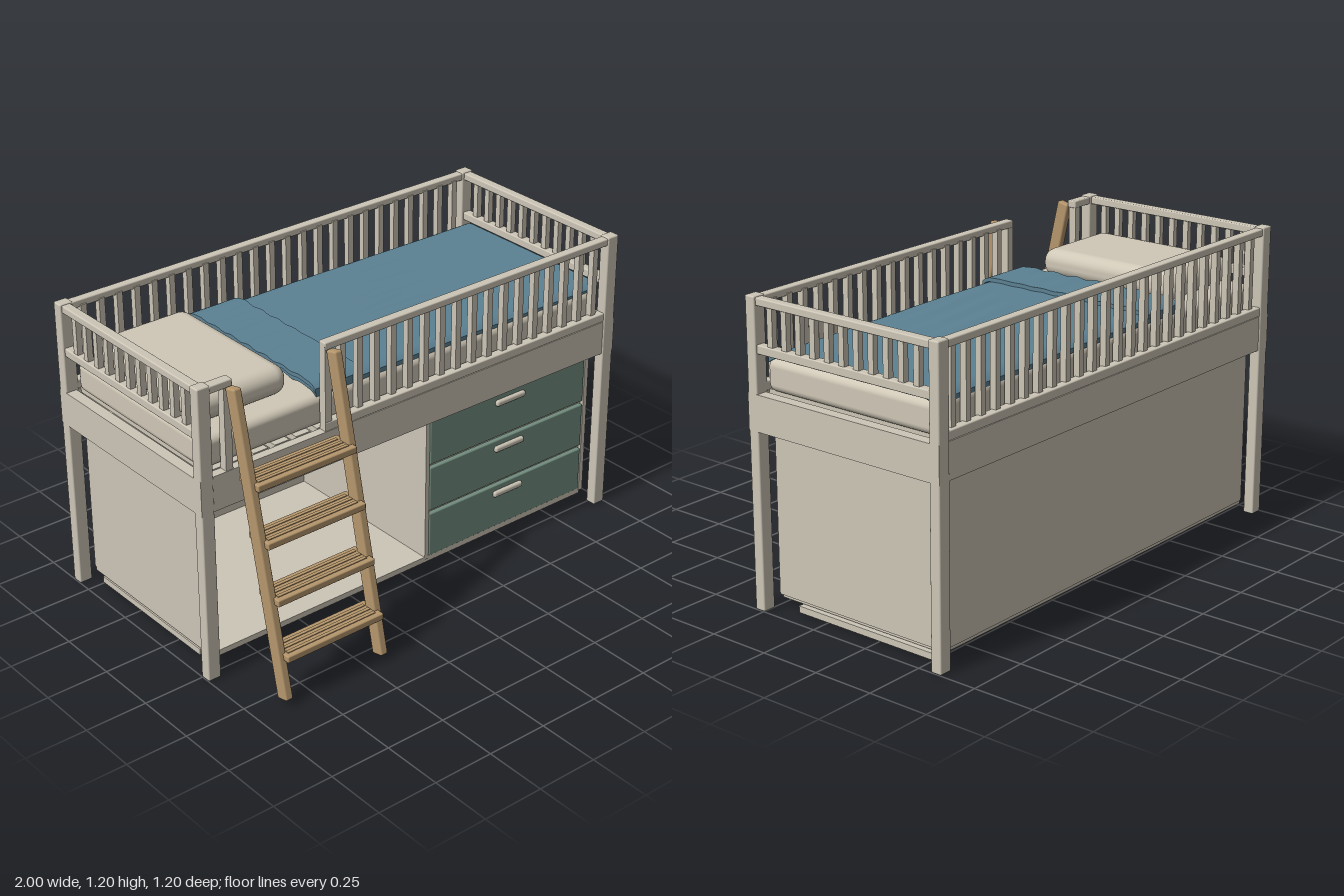
import * as THREE from 'three';
import { RoundedBoxGeometry } from 'three/addons/geometries/RoundedBoxGeometry.js';

const mat = (name, color) => {
  const m = new THREE.MeshStandardMaterial({ color });
  m.name = name;
  return m;
};

export function createModel() {
  const cream = mat('cream paint', 0xcdc6b7);
  const linen = mat('linen', 0xd0c8b7);
  const green = mat('sage green', 0x738e80);
  const teal = mat('teal blanket', 0x5c8294);
  const wood = mat('oak', 0xb5966c);

  const model = new THREE.Group();
  model.name = 'loftBed';
  const group = (name) => {
    const g = new THREE.Group();
    g.name = name;
    model.add(g);
    return g;
  };
  // Box given by its limits on each axis, with an optional rounding radius
  const box = (parent, name, material, [x0, x1], [y0, y1], [z0, z1], r = 0) => {
    const s = [x1 - x0, y1 - y0, z1 - z0];
    const geo = r ? new RoundedBoxGeometry(...s, 3, r) : new THREE.BoxGeometry(...s);
    const mesh = new THREE.Mesh(geo, material);
    mesh.name = name;
    mesh.position.set((x0 + x1) / 2, (y0 + y1) / 2, (z0 + z1) / 2);
    parent.add(mesh);
    return mesh;
  };
  const around = (c, w) => [c - w / 2, c + w / 2];
  const span = (side, a, b) => (side > 0 ? [a, b] : [-b, -a]);

  const back = [-0.6, -0.555], front = [0.245, 0.29];
  const top = [1.165, 1.195];

  // Posts and main rails
  const frame = group('bedFrame');
  for (const side of [-1, 1]) {
    const x = span(side, 0.945, 1);
    for (const z of [back, front]) box(frame, 'post', cream, x, [0.005, 1.2], z, 0.006);
    box(frame, 'endRail', cream, span(side, 0.955, 1), [0.7, 0.84], [-0.6, 0.29]);
  }
  box(frame, 'backRail', cream, [-0.95, 0.95], [0.7, 0.84], [-0.595, -0.56]);
  box(frame, 'frontRail', cream, [-0.95, 0.95], [0.7, 0.84], [0.25, 0.285]);
  for (let i = 0; i < 20; i++) {
    box(frame, 'bedSlat', cream, around(-0.9 + i * 0.0947, 0.065), [0.82, 0.845], [-0.56, 0.25]);
  }

  // End guards with short balusters
  const guards = group('guardRails');
  for (const side of [-1, 1]) {
    const x = span(side, 0.955, 0.992);
    box(guards, 'endTopRail', cream, x, top, [-0.56, 0.25], 0.005);
    box(guards, 'endLowerRail', cream, x, [0.988, 1.022], [-0.56, 0.25], 0.005);
    for (let i = 0; i < 11; i++) {
      box(guards, 'endBaluster', cream, span(side, 0.962, 0.986), [1.01, 1.175], around(0.186 - i * 0.0677, 0.025));
    }
  }

  // Long guards; the front one leaves the ladder opening free
  const longGuard = (z, bz, x0, x1) => {
    box(guards, 'topRail', cream, [x0, x1], top, z, 0.005);
    box(guards, 'lowerRail', cream, [x0, x1], [0.84, 0.877], z, 0.005);
    for (let i = 0; i < 24; i++) {
      const x = -0.9 + i * 0.0783;
      if (x > x0 + 0.02 && x < x1) box(guards, 'baluster', cream, around(x, 0.025), [0.865, 1.175], bz);
    }
  };
  longGuard([-0.595, -0.558], [-0.58, -0.553], -0.95, 0.95);
  longGuard([0.248, 0.285], [0.243, 0.27], -0.445, 0.95);
  box(guards, 'openingPost', cream, [-0.445, -0.415], [0.84, 1.18], [0.25, 0.283]);
  box(guards, 'stubTopRail', cream, [-0.95, -0.85], top, [0.248, 0.288], 0.005);
  box(guards, 'stubPost', cream, [-0.885, -0.855], [0.84, 1.18], [0.25, 0.283]);

  // Mattress and pillow
  const bedding = group('bedding');
  box(bedding, 'mattress', linen, [-0.955, 0.955], [0.843, 0.967], [-0.545, 0.24], 0.03);
  box(bedding, 'pillow', linen, [-0.915, -0.51], [0.966, 1.08], [-0.478, 0.163], 0.05);

  // Rippled cover that curls down along its long edges
  const cover = (name, x0, x1, y, thick, z0, z1, wave) => {
    const geo = new THREE.BoxGeometry(x1 - x0, thick, z1 - z0, 48, 1, 60);
    geo.translate((x0 + x1) / 2, y, (z0 + z1) / 2);
    const p = geo.attributes.position;
    for (let i = 0; i < p.count; i++) {
      const x = p.getX(i), z = p.getZ(i);
      const edge = Math.min(z - z0, z1 - z);
      const curl = Math.max(0, 1 - edge / 0.045);
      const fold = Math.sin(z * 62 + Math.sin(x * 4)) * (0.6 + 0.4 * Math.sin(x * 9 + z * 5));
      const fade = THREE.MathUtils.clamp((0.95 - x) / 0.9, 0.1, 1);
      p.setY(i, p.getY(i) + wave * fold * fade * (1 - curl) + 0.008 * fade - 0.02 * curl * curl);
    }
    geo.computeVertexNormals();
    const mesh = new THREE.Mesh(geo, teal);
    mesh.name = name;
    bedding.add(mesh);
  };
  cover('blanket', -0.445, 0.952, 0.98, 0.018, -0.543, 0.23, 0.004);
  cover('foldedBlanketEdge', -0.452, -0.235, 0.998, 0.016, -0.546, 0.233, 0.004);

  // Cabinet shell beneath the bed
  const cabinet = group('cabinet');
  box(cabinet, 'plinth', cream, [-0.93, 0.93], [0.01, 0.036], [-0.5, 0.137]);
  box(cabinet, 'basePlate', cream, [-0.93, 0.92], [0.044, 0.062], [-0.545, 0.225]);
  box(cabinet, 'floorPanel', cream, [-0.93, 0.93], [0.058, 0.07], [-0.55, 0.228]);
  box(cabinet, 'backPanel', cream, [-0.93, 0.93], [0.06, 0.705], [-0.55, -0.53]);
  for (const side of [-1, 1]) {
    box(cabinet, 'sidePanel', cream, span(side, 0.912, 0.932), [0.06, 0.705], [-0.55, 0.23]);
  }
  box(cabinet, 'dividerPanel', cream, [0.08, 0.098], [0.06, 0.705], [-0.54, 0.23]);
  box(cabinet, 'cabinetTop', cream, [0.08, 0.93], [0.685, 0.705], [-0.54, 0.23]);
  box(cabinet, 'drawerCarcass', cream, [0.095, 0.915], [0.065, 0.69], [-0.53, 0.215]);

  // Drawers with pill-shaped pulls
  for (let i = 0; i < 3; i++) {
    const y = 0.07 + i * 0.204;
    box(cabinet, 'drawerFront', green, [0.1, 0.908], [y, y + 0.19], [0.2, 0.232], 0.006);
    box(cabinet, 'drawerPull', cream, [0.43, 0.58], [y + 0.14, y + 0.166], [0.225, 0.246], 0.01);
  }

  // Small hooks and a pull strap in the open bay
  for (const x of [-0.92, 0.06]) box(cabinet, 'hook', cream, around(x, 0.014), [0.685, 0.71], [0.19, 0.204]);
  box(cabinet, 'pullStrap', cream, around(-0.14, 0.012), [0.575, 0.71], [0.1, 0.112], 0.004);

  // Leaning ladder
  const ladder = group('ladder');
  const foot = new THREE.Vector2(0.572, 0.03), head = new THREE.Vector2(0.315, 1.178);
  const lean = Math.atan2(head.x - foot.x, head.y - foot.y);
  const length = foot.distanceTo(head);
  for (const x of [-0.868, -0.43]) {
    const rail = box(ladder, 'ladderRail', wood, around(x, 0.034), [0, length], around(0, 0.054), 0.008);
    rail.position.set(x, (foot.y + head.y) / 2, (foot.x + head.x) / 2);
    rail.rotation.x = lean;
  }
  for (let i = 0; i < 4; i++) {
    const y = 0.2 + i * 0.21, z = 0.532 - i * 0.0495;
    box(ladder, 'ladderStep', wood, [-0.865, -0.428], around(y, 0.028), around(z, 0.115), 0.005);
    // Raised grip strips on the tread
    for (const dz of [-0.03, 0, 0.03]) {
      box(ladder, 'gripStrip', wood, [-0.85, -0.45], [y + 0.013, y + 0.017], around(z + dz, 0.014));
    }
  }
  return model;
}
